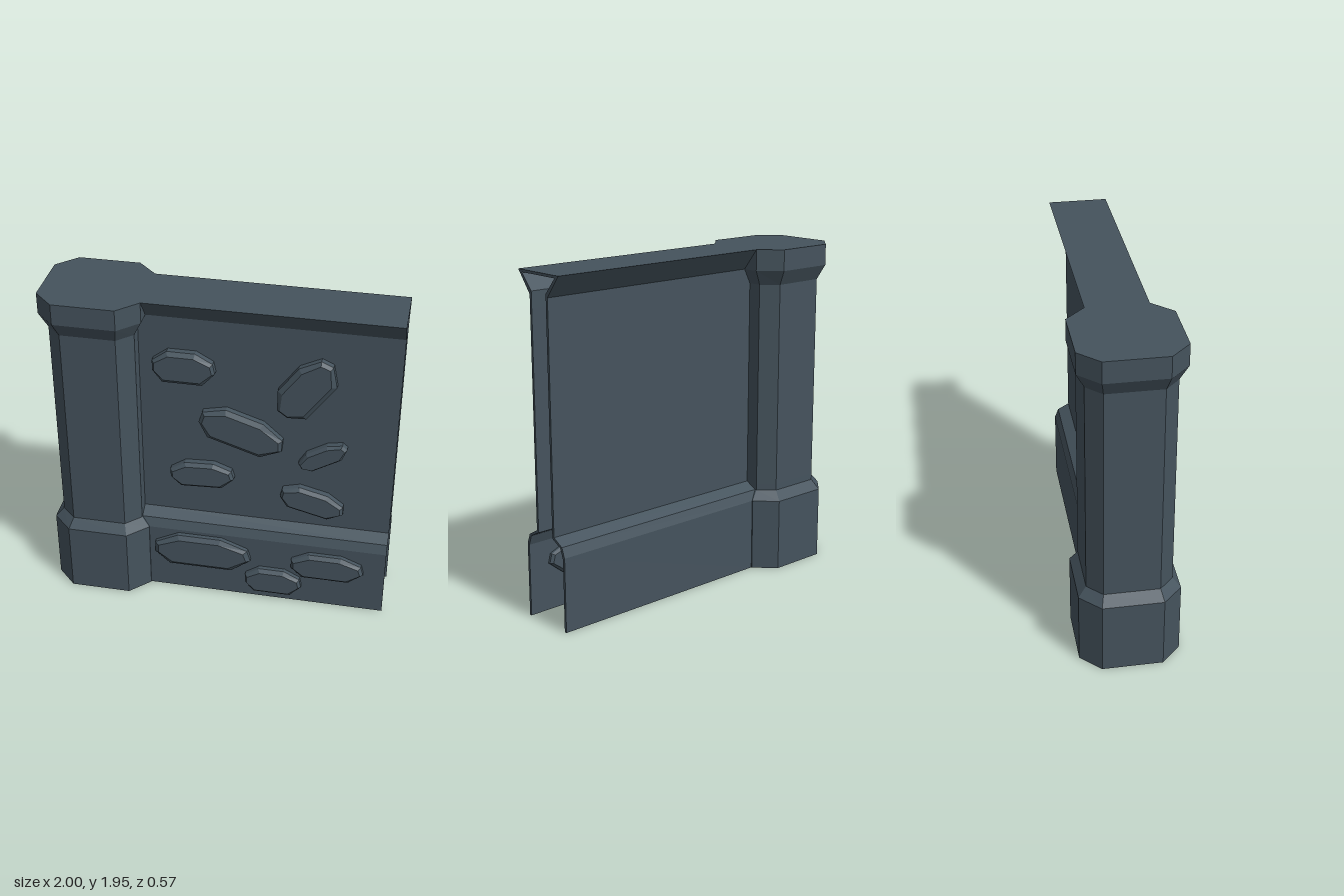
import * as THREE from 'three';

const material = new THREE.MeshStandardMaterial({ color: 0x45535d, flatShading: true, side: THREE.DoubleSide });

// Collects quads (corners counter-clockwise from outside) into one mesh.
function meshFromQuads(name, quads) {
  const pos = [];
  for (const [a, b, c, d] of quads) pos.push(...a, ...b, ...c, ...a, ...c, ...d);
  const geo = new THREE.BufferGeometry();
  geo.setAttribute('position', new THREE.Float32BufferAttribute(pos, 3));
  geo.computeVertexNormals();
  const mesh = new THREE.Mesh(geo, material);
  mesh.name = name;
  return mesh;
}

// Plan sections of the pillar: left x, right x, half depth, half flat side, corner cut.
const WIDE = { l: -1, r: -0.42, d: 0.285, c: 0.172, k: 0.113 };
const SHAFT = { l: -0.95, r: -0.465, d: 0.24, c: 0.157, k: 0.085 };

// Height outside, height inside, wall half depth outside and inside, pillar section.
const LEVELS = [
  [0, 0, 0.167, 0.152, WIDE],
  [0.43, 0.42, 0.167, 0.152, WIDE],
  [0.487, 0.48, 0.145, 0.13, SHAFT],
  [0.525, 0.515, 0.077, 0.062, SHAFT],
  [1.74, 1.75, 0.077, 0.062, SHAFT],
  [1.827, 1.845, 0.077, 0.062, WIDE],
  [1.95, 1.935, 0.172, 0.14, WIDE],
];

// Open outline running from the wall's front end, round the pillar, to its back end.
function outline(y, w, { l, r, d, c, k }, t) {
  const s = 0.4 * t;
  const half = [
    [1, w], [r - t, w], [r - t, c - s], [r - k - s, d - t], [l + k + s, d - t], [l + t, c - s],
  ];
  const front = half.map(([x, z]) => [x, y, z]);
  const back = half.map(([x, z]) => [x, y, -z]).reverse();
  return [...front, ...back];
}

// Hollow wall and pillar, open below and at the wall's end.
function buildShell() {
  const t = 0.015;
  const outer = LEVELS.map(([y, , w, , p]) => outline(y, w, p, 0));
  const inner = LEVELS.map(([, y, , w, p]) => outline(y, w, p, t));
  const n = outer[0].length, top = LEVELS.length - 1;
  const sides = [], lid = [], rims = [];
  for (let j = 0; j < top; j++) {
    for (let i = 0; i < n - 1; i++) {
      sides.push([outer[j][i], outer[j + 1][i], outer[j + 1][i + 1], outer[j][i + 1]]);
      sides.push([inner[j][i], inner[j][i + 1], inner[j + 1][i + 1], inner[j + 1][i]]);
    }
    rims.push([outer[j][0], inner[j][0], inner[j + 1][0], outer[j + 1][0]]);
    rims.push([outer[j][n - 1], outer[j + 1][n - 1], inner[j + 1][n - 1], inner[j][n - 1]]);
  }
  for (let i = 0; i < n - 1; i++) {
    rims.push([outer[0][i], outer[0][i + 1], inner[0][i + 1], inner[0][i]]);
  }
  // top plate and its underside
  for (let i = 0; i < n / 2 - 1; i++) {
    const o = outer[top], q = inner[top];
    lid.push([o[i], o[n - 1 - i], o[n - 2 - i], o[i + 1]]);
    lid.push([q[i], q[i + 1], q[n - 2 - i], q[n - 1 - i]]);
  }
  rims.push([outer[top][0], inner[top][0], inner[top][n - 1], outer[top][n - 1]]);
  const shell = new THREE.Group();
  shell.name = 'wallAndPillar';
  shell.add(meshFromQuads('shellSides', sides), meshFromQuads('topPlate', lid), meshFromQuads('shellRims', rims));
  return shell;
}

// Uneven octagon shared by all stones, in half lengths and half heights.
const STONE = [
  [-0.52, 1], [0.38, 1], [0.93, 0.45], [1, -0.18], [0.59, -1], [-0.69, -1], [-1, -0.27], [-1, 0.36],
].reverse();

// Stone slab with bevelled edges, set through the wall.
function buildStone(halfLength, halfHeight) {
  const rings = [[-0.045, 0.93, 0.85], [-0.03, 1, 1], [0.025, 1, 1], [0.045, 0.92, 0.76]].map(([z, sx, sy]) =>
    STONE.map(([x, y]) => [x * halfLength * sx, y * halfHeight * sy, z]));
  const quads = [];
  const n = STONE.length;
  for (let j = 0; j < 3; j++) {
    for (let i = 0; i < n; i++) {
      const k = (i + 1) % n;
      quads.push([rings[j][i], rings[j][k], rings[j + 1][k], rings[j + 1][i]]);
    }
  }
  for (let i = 1; i < n - 2; i += 2) {
    const f = rings[3], b = rings[0];
    quads.push([f[0], f[i], f[i + 1], f[i + 2]]);
    quads.push([b[0], b[i + 2], b[i + 1], b[i]]);
  }
  return meshFromQuads('stone', quads);
}

export function createModel() {
  const model = new THREE.Group();
  model.name = 'wallSection';
  model.add(buildShell());

  // x, y, half length, half height, turn in degrees
  const upper = [
    [-0.205, 1.53, 0.178, 0.1, 0],
    [0.485, 1.47, 0.215, 0.115, 54],
    [0.125, 1.14, 0.25, 0.11, -18],
    [0.595, 1.035, 0.15, 0.058, 31],
    [-0.105, 0.815, 0.188, 0.083, 3],
    [0.545, 0.705, 0.19, 0.08, -14],
  ];
  const lower = [
    [-0.09, 0.3, 0.29, 0.11, 0],
    [0.66, 0.295, 0.215, 0.087, 0],
    [0.34, 0.142, 0.17, 0.088, 0],
  ];
  for (const [name, list, z] of [['upperStones', upper, 0.088], ['lowerStones', lower, 0.168]]) {
    const group = new THREE.Group();
    group.name = name;
    for (const [x, y, hl, hh, turn] of list) {
      const stone = buildStone(hl, hh);
      stone.position.set(x, y, z);
      stone.rotation.z = THREE.MathUtils.degToRad(turn);
      group.add(stone);
    }
    model.add(group);
  }
  return model;
}
